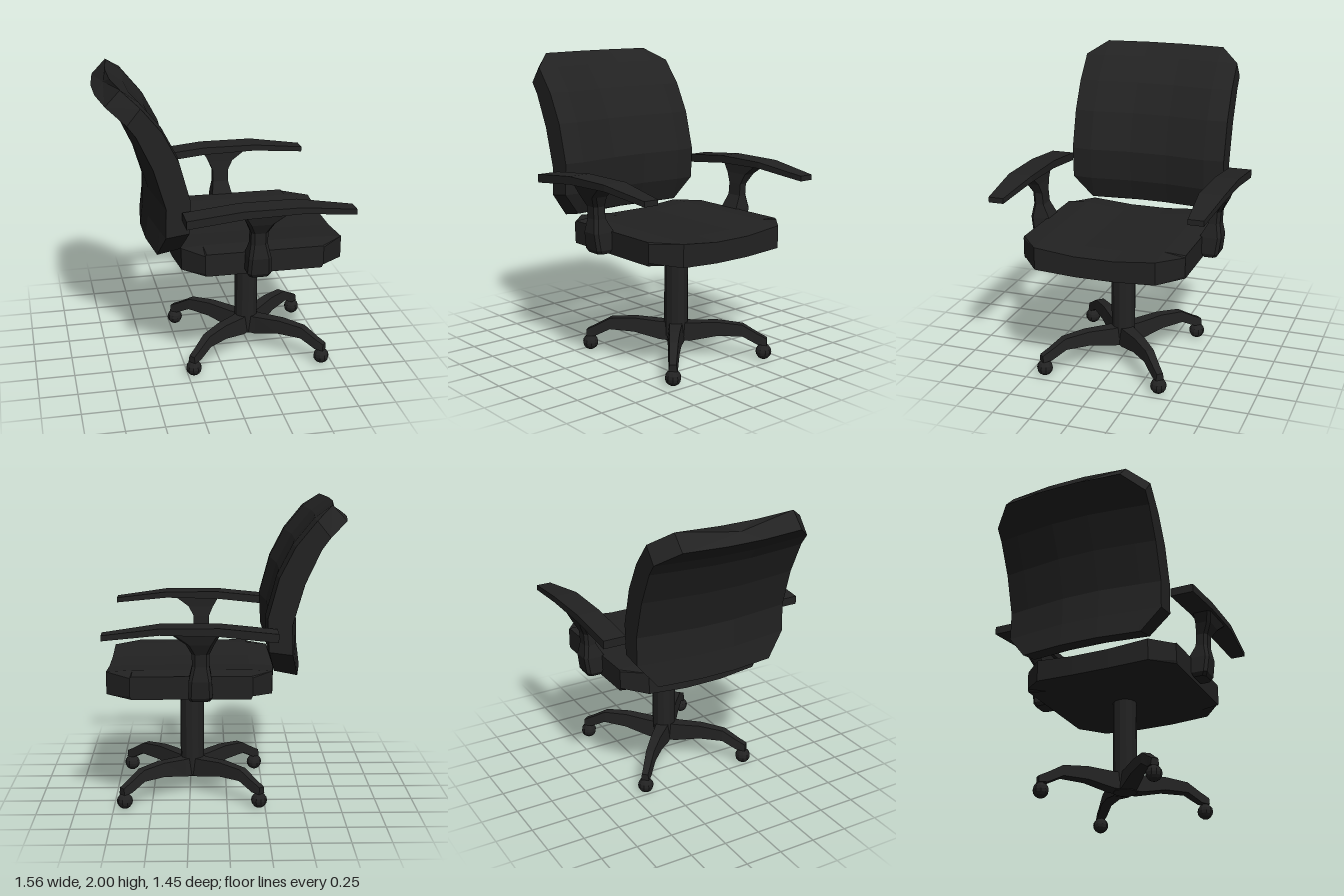
import * as THREE from 'three';

const material = new THREE.MeshStandardMaterial({ color: 0x222222, flatShading: true, roughness: 0.9 });

function part(name, geometry) {
  const mesh = new THREE.Mesh(geometry, material);
  mesh.name = name;
  return mesh;
}

// Joins equal-length rings of [x, y, z] points into a capped solid, facing outward.
function loft(rings) {
  const n = rings[0].length;
  const points = rings.flat().map((p) => new THREE.Vector3(...p));
  const tris = [];
  for (let r = 0; r < rings.length - 1; r++) {
    for (let i = 0; i < n; i++) {
      const j = (i + 1) % n;
      const a = r * n + i, b = r * n + j;
      tris.push([a, b, b + n], [a, b + n, a + n]);
    }
  }
  for (const [start, flip] of [[0, true], [(rings.length - 1) * n, false]]) {
    const centre = new THREE.Vector3();
    for (let i = 0; i < n; i++) centre.addScaledVector(points[start + i], 1 / n);
    const c = points.push(centre) - 1;
    for (let i = 0; i < n; i++) {
      const a = start + i, b = start + ((i + 1) % n);
      tris.push(flip ? [c, b, a] : [c, a, b]);
    }
  }
  const cross = new THREE.Vector3();
  let volume = 0;
  for (const [a, b, c] of tris) volume += points[a].dot(cross.crossVectors(points[b], points[c]));
  if (volume < 0) tris.forEach((t) => t.reverse());

  const geometry = new THREE.BufferGeometry().setFromPoints(points);
  geometry.setIndex(tris.flat());
  const flat = geometry.toNonIndexed();
  flat.computeVertexNormals();
  return flat;
}

// Dished cushion: side profiles swept from one side to the other.
function seat() {
  // [z, back x, front x, underside y, top y]
  const half = [
    [0.13, -0.31, 0.78, 0.75, 0.915],
    [0.40, -0.29, 0.78, 0.765, 0.943],
    [0.543, -0.16, 0.62, 0.785, 0.935],
  ];
  const all = [...half.map(([z, ...rest]) => [-z, ...rest]).reverse(), ...half];
  return part('seat', loft(all.map(([z, x0, x1, y0, y1]) => {
    const a = Math.max(x0, -0.15), b = Math.min(x1, 0.61);
    return [
      [x0, y0 + 0.02, z], [a, y0, z], [b, y0, z], [x1, y0 + 0.02, z],
      [x1, y1 - 0.01, z], [b, y1, z], [a, y1, z], [x0, y1 - 0.01, z],
    ];
  })));
}

// Curved, reclining back with side edges wrapped slightly forward.
function backrest() {
  // [half width, front x, front y, rear x, rear y]
  const rows = [
    [0.42, -0.30, 0.94, -0.45, 0.91],
    [0.548, -0.25, 1.09, -0.43, 1.07],
    [0.548, -0.24, 1.30, -0.425, 1.26],
    [0.548, -0.31, 1.56, -0.50, 1.52],
    [0.548, -0.41, 1.755, -0.60, 1.735],
    [0.548, -0.54, 1.915, -0.655, 1.81],
    [0.42, -0.655, 2.0, -0.75, 1.90],
  ];
  return part('backrest', loft(rows.map(([w, fx, fy, bx, by]) => {
    const columns = [-w, -0.41, -0.13, 0.13, 0.41, w];
    const bow = (z) => (Math.abs(z) < 0.2 ? 0.033 : 0);
    const wrap = (z) => (Math.abs(z) > 0.5 ? 0.02 : 0);
    return [
      ...columns.map((z) => [fx - bow(z) - wrap(z) * 0.5, fy, z]),
      ...columns.reverse().map((z) => [bx - bow(z) + wrap(z), by, z]),
    ];
  })));
}

// Armrest pad on a waisted bracket; side is +1 or -1.
function arm(side) {
  const group = new THREE.Group();
  group.name = side > 0 ? 'leftArm' : 'rightArm';

  // [x, bottom y, top y, inner z, outer z]
  const pad = [
    [-0.31, 1.19, 1.245, 0.573, 0.727],
    [0.05, 1.23, 1.282, 0.569, 0.727],
    [0.42, 1.24, 1.282, 0.565, 0.727],
    [0.78, 1.2, 1.235, 0.6, 0.7],
  ];
  group.add(part('armPad', loft(pad.map(([x, y0, y1, z0, z1]) => [
    [x, y0, side * z0], [x, y1, side * z0], [x, y1, side * z1], [x, y0, side * z1],
  ]))));

  // [y, rear x, front x, inner z, outer z]
  const bracket = [
    [0.795, 0.11, 0.24, 0.555, 0.635],
    [0.82, 0.095, 0.25, 0.545, 0.65],
    [0.93, 0.1, 0.245, 0.525, 0.665],
    [1.02, 0.115, 0.225, 0.575, 0.65],
    [1.1, 0.115, 0.225, 0.582, 0.655],
    [1.17, 0.085, 0.26, 0.59, 0.69],
    [1.238, 0.045, 0.35, 0.59, 0.71],
  ];
  group.add(part('armBracket', loft(bracket.map(([y, x0, x1, z0, z1]) => {
    const c = 0.02;
    const a = side * z0, b = side * z1, d = side * c;
    return [
      [x0, y, a], [x1, y, a], [x1, y, b - d],
      [x1 - c, y, b], [x0 + c, y, b], [x0, y, b - d],
    ];
  }))));
  return group;
}

// Arched leg running outward along local +x, with a ball caster under its tip.
function leg(angle) {
  const group = new THREE.Group();
  group.name = 'baseLeg';
  // [distance, bottom y, top y, half width]
  const sections = [
    [0.0, 0.115, 0.235, 0.06],
    [0.1, 0.115, 0.235, 0.055],
    [0.28, 0.155, 0.248, 0.045],
    [0.45, 0.16, 0.235, 0.037],
    [0.555, 0.105, 0.175, 0.031],
    [0.615, 0.1, 0.145, 0.028],
  ];
  group.add(part('legBeam', loft(sections.map(([x, y0, y1, w]) => [
    [x, y0, -w], [x, y1, -w * 0.75], [x, y1, w * 0.75], [x, y0, w],
  ]))));
  const caster = part('caster', new THREE.SphereGeometry(0.053, 10, 8));
  caster.position.set(0.593, 0.053, 0);
  group.add(caster);
  group.rotation.y = angle;
  return group;
}

export function createModel() {
  const chair = new THREE.Group();
  chair.name = 'officeChair';
  chair.add(seat(), backrest(), arm(1), arm(-1));

  // Pedestal: central column and four diagonal legs
  const pedestal = new THREE.Group();
  pedestal.name = 'pedestal';
  const column = part('column', new THREE.CylinderGeometry(0.081, 0.081, 0.67, 12));
  column.position.y = 0.445;
  pedestal.add(column);
  const spread = Math.atan2(0.395, 0.445);
  for (const a of [spread, -spread, Math.PI - spread, Math.PI + spread]) pedestal.add(leg(a));
  pedestal.position.x = 0.233;
  chair.add(pedestal);
  return chair;
}
